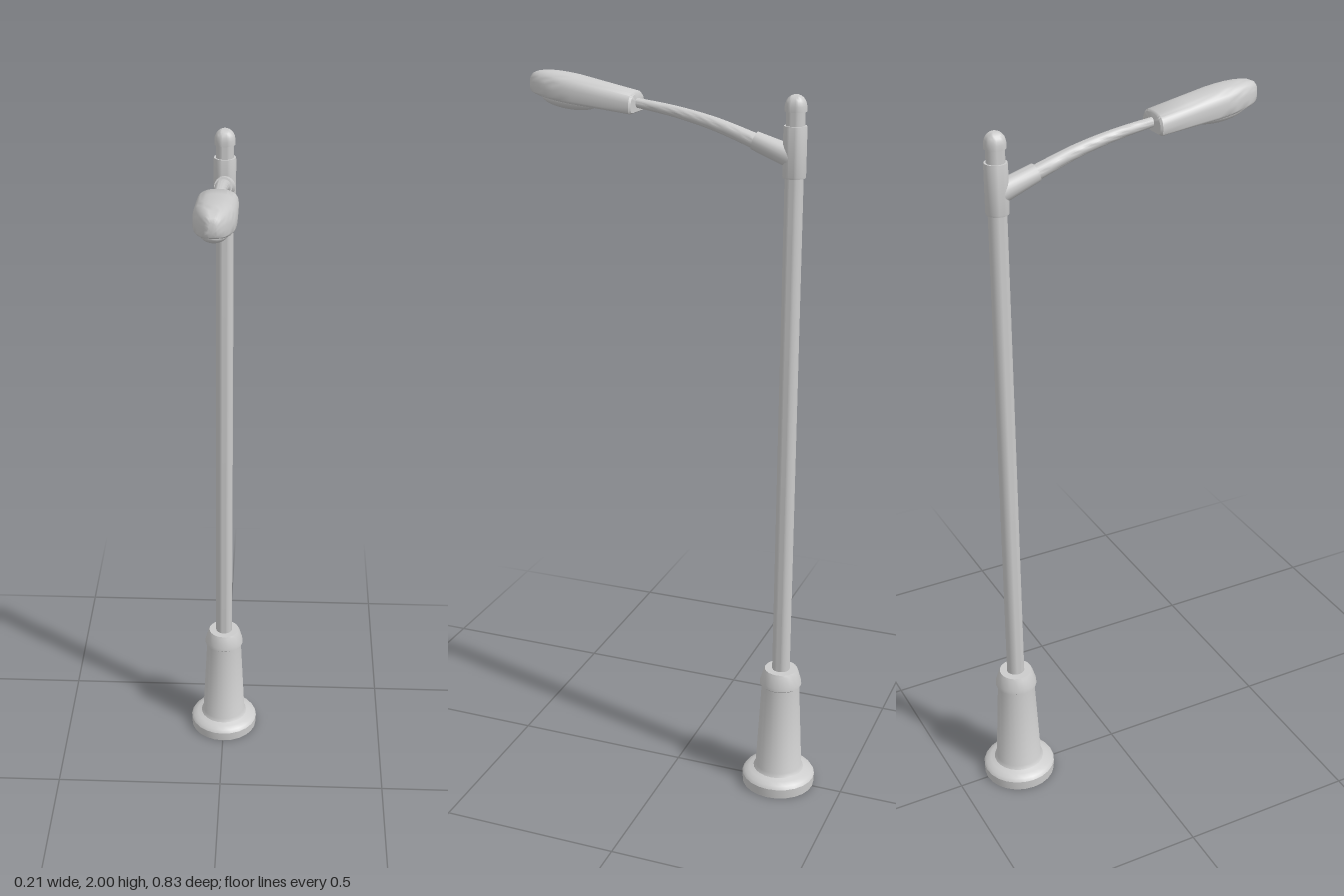
import * as THREE from 'three';
import { toCreasedNormals } from 'three/addons/utils/BufferGeometryUtils.js';

const material = new THREE.MeshStandardMaterial({ color: 0xcccccc, side: THREE.DoubleSide });
const POLE_Z = -0.312;

function add(group, name, geometry, crease = 0.6) {
  const mesh = new THREE.Mesh(toCreasedNormals(geometry, crease), material);
  mesh.name = name;
  group.add(mesh);
  return mesh;
}

// Turned part around the pole axis, from [radius, height] pairs
function turned(group, name, profile) {
  const points = profile.map(([r, y]) => new THREE.Vector2(r, y));
  add(group, name, new THREE.LatheGeometry(points, 24)).position.z = POLE_Z;
}

// Round tube along a curve in the x = 0 plane, with radius tapering from r0 to r1
function taperedTube(curve, r0, r1, segments, sides = 16) {
  const geometry = new THREE.TubeGeometry(curve, segments, 1, sides);
  const p = geometry.attributes.position;
  const centre = new THREE.Vector3();
  const v = new THREE.Vector3();
  for (let i = 0; i < p.count; i++) {
    const t = Math.floor(i / (sides + 1)) / segments;
    curve.getPointAt(t, centre);
    v.fromBufferAttribute(p, i).sub(centre).multiplyScalar(r0 + (r1 - r0) * t).add(centre);
    p.setXYZ(i, v.x, v.y, v.z);
  }
  return geometry;
}

// Loft of flat-bottomed, arched sections; station = [z, halfWidth, bottom, top]
function lampShell(stations) {
  const sides = 32;
  const positions = [];
  const index = [];
  for (const [z, w, bottom, top] of stations) {
    const mid = bottom + (top - bottom) * 0.35;
    for (let j = 0; j < sides; j++) {
      const a = (j / sides) * Math.PI * 2;
      const c = Math.cos(a);
      const s = Math.sin(a);
      const power = s > 0 ? 0.8 : 0.3;
      const x = w * Math.sign(c) * Math.abs(c) ** power;
      const y = mid + (s > 0 ? top - mid : mid - bottom) * Math.sign(s) * Math.abs(s) ** power;
      positions.push(x, y, z);
    }
  }
  for (let i = 0; i < stations.length - 1; i++) {
    for (let j = 0; j < sides; j++) {
      const a = i * sides + j;
      const b = i * sides + ((j + 1) % sides);
      index.push(a, b, a + sides, b, b + sides, a + sides);
    }
  }
  const geometry = new THREE.BufferGeometry();
  geometry.setAttribute('position', new THREE.Float32BufferAttribute(positions, 3));
  geometry.setIndex(index);
  return geometry;
}

export function createModel() {
  const model = new THREE.Group();
  model.name = 'streetLamp';

  // Hollow flared base with a collar around the pole
  turned(model, 'base', [
    [0.103, 0], [0.104, 0.028], [0.098, 0.037], [0.084, 0.043], [0.072, 0.048],
    [0.066, 0.058], [0.053, 0.32],
  ]);
  turned(model, 'baseCollar', [
    [0.053, 0.315], [0.059, 0.32], [0.058, 0.33], [0.049, 0.36], [0.046, 0.366], [0.022, 0.366],
  ]);

  // Pole, bracket sleeve and domed cap
  turned(model, 'pole', [[0.025, 0.34], [0.024, 1.93]]);
  turned(model, 'sleeve', [
    [0.023, 1.76], [0.029, 1.76], [0.03, 1.765], [0.03, 1.885], [0.029, 1.89], [0.023, 1.89],
  ]);
  const cap = [[0.022, 1.925], [0.028, 1.925], [0.028, 1.938]];
  for (let i = 1; i <= 6; i++) {
    const a = (i / 6) * Math.PI / 2;
    cap.push([0.027 * Math.cos(a), 1.94 + 0.027 * Math.sin(a)]);
  }
  turned(model, 'cap', cap);

  // Angled socket holding the curved arm
  const socketStart = new THREE.Vector3(0, 1.812, -0.305);
  const socketEnd = new THREE.Vector3(0, 1.847, -0.206);
  add(model, 'armSocket', taperedTube(new THREE.LineCurve3(socketStart, socketEnd), 0.029, 0.024, 1));
  const rim = add(model, 'armSocketEnd', new THREE.CircleGeometry(0.024, 16));
  rim.position.copy(socketEnd);
  rim.rotation.x = -Math.atan2(0.035, 0.099);
  const armCurve = new THREE.CatmullRomCurve3([
    new THREE.Vector3(0, 1.843, -0.215),
    new THREE.Vector3(0, 1.882, -0.1),
    new THREE.Vector3(0, 1.908, 0.01),
    new THREE.Vector3(0, 1.928, 0.14),
  ]);
  add(model, 'arm', taperedTube(armCurve, 0.02, 0.012, 16));

  // Lamp head: closed rear, straight body and rounded nose
  const stations = [
    [0.113, 0, 1.925, 1.925],
    [0.113, 0.045, 1.902, 1.948],
    [0.118, 0.05, 1.899, 1.954],
    [0.2, 0.051, 1.908, 1.971],
    [0.28, 0.051, 1.916, 1.988],
  ];
  for (let i = 1; i <= 8; i++) {
    const a = (i / 8) * Math.PI / 2;
    const c = Math.cos(a);
    const s = Math.sin(a);
    const tipY = 1.955;
    const bottom = 1.916 + 0.016 * s;
    const top = 1.988 + 0.022 * s;
    const h = Math.sqrt(c);
    stations.push([0.28 + 0.136 * s, 0.051 * c, tipY + (bottom - tipY) * h, tipY + (top - tipY) * h]);
  }
  add(model, 'lampHead', lampShell(stations), 0.7);

  // Bulging lens under the nose
  const lens = add(model, 'lens', new THREE.SphereGeometry(1, 24, 16));
  lens.scale.set(0.036, 0.022, 0.078);
  lens.position.set(0, 1.921, 0.305);
  lens.rotation.x = -0.12;

  return model;
}
